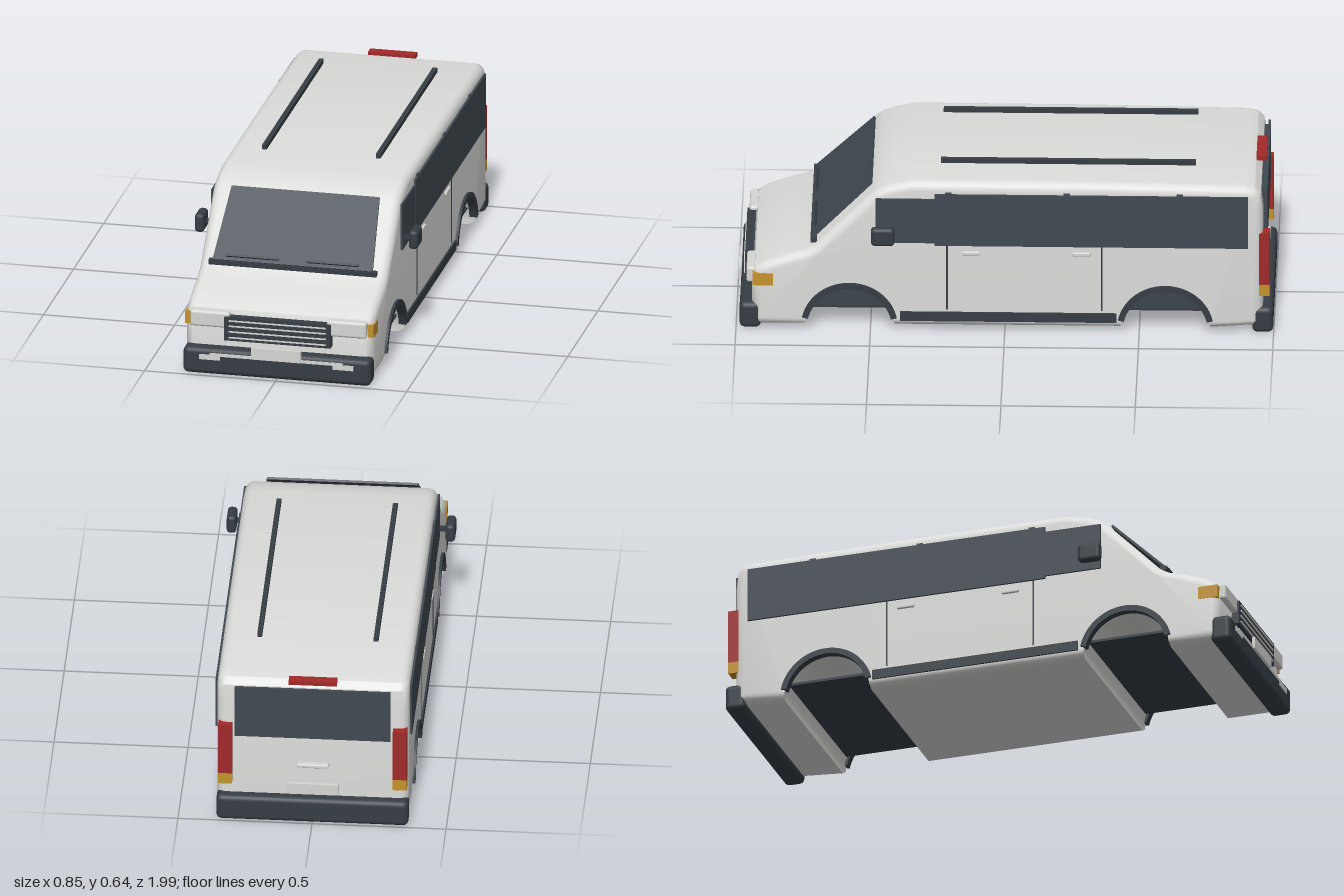
import * as THREE from 'three';
import { toCreasedNormals } from 'three/addons/utils/BufferGeometryUtils.js';
import { RoundedBoxGeometry } from 'three/addons/geometries/RoundedBoxGeometry.js';

const mat = (name, color) => {
  const m = new THREE.MeshStandardMaterial({ color });
  m.name = name;
  return m;
};

export function createModel() {
  const paint = mat('body paint', 0xdcdcdb);
  const glass = mat('tinted glass', 0x414951);
  const trim = mat('dark trim', 0x363d44);
  const chrome = mat('light trim', 0xd6d6d4);
  const red = mat('red lens', 0xa02a2a);
  const amber = mat('amber lens', 0xc4922e);

  const van = new THREE.Group();
  van.name = 'van';
  const add = (name, geometry, material) => {
    const mesh = new THREE.Mesh(geometry, material);
    mesh.name = name;
    van.add(mesh);
    return mesh;
  };
  // Box given by its extents along each axis; r rounds its edges
  const box = (name, material, [x0, x1], [y0, y1], [z0, z1], r = 0) => {
    const size = [x1 - x0, y1 - y0, z1 - z0];
    const geo = r ? new RoundedBoxGeometry(...size, 3, r) : new THREE.BoxGeometry(...size);
    const mesh = add(name, geo, material);
    mesh.position.set((x0 + x1) / 2, (y0 + y1) / 2, (z0 + z1) / 2);
    return mesh;
  };
  // Mirrored pair of boxes
  const pair = (name, material, [x0, x1], y, z, r) => {
    box(name + 'Left', material, [x0, x1], y, z, r);
    box(name + 'Right', material, [-x1, -x0], y, z, r);
  };

  // Body shell: side profile with wheel arches, bevelled along the sides
  const wheels = [-0.597, 0.578], floorY = 0.015, archR = 0.168, bevel = 0.035;
  const side = new THREE.Shape();
  side.moveTo(-0.95, floorY);
  for (const z of wheels) side.absarc(z, floorY, archR, Math.PI, 0, true);
  const outline = [[0.925, 0.015], [0.94, 0.035], [0.942, 0.215], [0.93, 0.248], [0.89, 0.273],
    [0.81, 0.3], [0.74, 0.322], [0.705, 0.342], [0.49, 0.562], [0.465, 0.578], [0.42, 0.594],
    [0.345, 0.61], [-0.3, 0.609], [-0.89, 0.601], [-0.93, 0.592], [-0.952, 0.568],
    [-0.96, 0.5], [-0.96, 0.03]];
  for (const [z, y] of outline) side.lineTo(z, y);
  side.closePath();
  const width = 0.716;
  const shell = new THREE.ExtrudeGeometry(side, {
    depth: width - 2 * bevel, bevelThickness: bevel, bevelSize: bevel,
    bevelOffset: -bevel, bevelSegments: 5, curveSegments: 20,
  });
  shell.translate(0, 0, -(width / 2 - bevel));
  // Keep the arches straight through the bevel
  const p = shell.attributes.position;
  for (let i = 0; i < p.count; i++) {
    for (const z of wheels) {
      const dz = p.getX(i) - z, dy = p.getY(i) - floorY, d = Math.hypot(dz, dy);
      if (d < 0.212) p.setXY(i, z + dz * archR / d, floorY + dy * archR / d);
    }
  }
  shell.rotateY(-Math.PI / 2);
  add('bodyShell', toCreasedNormals(shell, 0.6), paint);

  // Wheel arch trims and the floor plates across the wheel wells
  const ring = new THREE.Shape();
  ring.absarc(0, 0, 0.18, 0.22, Math.PI - 0.22, false);
  ring.absarc(0, 0, 0.158, Math.PI - 0.22, 0.22, true);
  ring.closePath();
  const ringGeo = toCreasedNormals(new THREE.ExtrudeGeometry(ring, {
    depth: 0.03, bevelEnabled: false, curveSegments: 24,
  }).translate(0, 0, -0.015).rotateY(-Math.PI / 2), 0.6);
  for (const z of wheels) {
    for (const s of [-1, 1]) add('archTrim', ringGeo, trim).position.set(s * 0.353, floorY, z);
    box('wellFloor', trim, [-0.33, 0.33], [0.08, 0.09], [z - 0.158, z + 0.158]);
  }

  // Sides: windows, door seams, handles and sills
  pair('sideWindow', glass, [0.358, 0.3665], [0.355, 0.565], [-0.905, 0.262]);
  pair('frontSideWindow', glass, [0.357, 0.3655], [0.365, 0.545], [0.262, 0.48]);
  for (const z of [0.21, -0.23, -0.65]) {
    pair('windowClip', glass, [0.352, 0.364], [0.56, 0.572], [z - 0.012, z + 0.012]);
  }
  for (const z of [0.215, -0.36]) {
    pair('doorSeam', trim, [0.354, 0.36], [0.09, 0.355], [z - 0.003, z + 0.003]);
  }
  for (const z of [0.125, -0.285]) {
    pair('doorHandle', chrome, [0.354, 0.367], [0.316, 0.331], [z - 0.033, z + 0.033], 0.004);
  }
  pair('sill', trim, [0.345, 0.365], [0.043, 0.08], [-0.415, 0.39]);

  // Mirrors
  pair('mirrorArm', trim, [0.35, 0.4], [0.403, 0.418], [0.445, 0.463]);
  pair('mirror', trim, [0.39, 0.426], [0.376, 0.448], [0.41, 0.497], 0.014);

  // Roof rails
  pair('roofRail', trim, [0.208, 0.226], [0.63, 0.647], [-0.708, 0.24]);

  // Windshield, cowl and wipers in a tilted group lying on the slope
  const front = new THREE.Group();
  front.name = 'windshieldGroup';
  front.position.set(0, 0.355, 0.712);
  front.rotation.x = -Math.atan2(0.218, 0.215);
  const screen = new THREE.Shape([[-0.305, 0], [0.305, 0], [0.282, 0.306], [-0.282, 0.306]]
    .map(([x, y]) => new THREE.Vector2(x, y)));
  const pane = new THREE.ExtrudeGeometry(screen, { depth: 0.009, bevelEnabled: false });
  front.add(add('windshield', pane, glass));
  for (const x of [-0.155, 0.15]) {
    const wiper = add('wiper', new THREE.BoxGeometry(0.2, 0.009, 0.008), trim);
    wiper.position.set(x, 0.018, 0.013);
    front.add(wiper);
  }
  van.add(front);
  box('cowl', trim, [-0.32, 0.32], [0.341, 0.359], [0.7, 0.724]);

  // Nose: grille, headlights and corner markers
  box('grille', trim, [-0.203, 0.203], [0.138, 0.23], [0.92, 0.97]);
  for (const y of [0.151, 0.174, 0.196, 0.217]) {
    box('grilleSlat', chrome, [-0.185, 0.185], [y - 0.0025, y + 0.0025], [0.968, 0.974]);
  }
  pair('headlight', chrome, [0.185, 0.336], [0.182, 0.244], [0.905, 0.962], 0.01);
  pair('cornerMarker', amber, [0.335, 0.36], [0.182, 0.231], [0.862, 0.938]);

  // Front bumper with lower light strip, fog lights and plate
  box('frontBumper', trim, [-0.358, 0.358], [0.003, 0.106], [0.908, 0.987], 0.02);
  box('bumperStrip', chrome, [-0.255, 0.255], [0.078, 0.09], [0.982, 0.989]);
  pair('fogLight', chrome, [0.215, 0.294], [0.063, 0.083], [0.982, 0.99]);
  box('frontPlate', chrome, [-0.095, 0.095], [0.08, 0.125], [0.985, 0.996]);

  // Tail: bumper, window, lamps, handle and plate
  box('rearBumper', trim, [-0.358, 0.358], [0.003, 0.106], [-0.998, -0.92], 0.02);
  box('rearWindow', glass, [-0.29, 0.29], [0.36, 0.573], [-0.976, -0.967]);
  box('rearWindowSeat', glass, [-0.28, 0.28], [0.37, 0.56], [-0.968, -0.95]);
  pair('tailLamp', red, [0.3, 0.352], [0.2, 0.41], [-0.985, -0.945]);
  pair('rearMarker', amber, [0.3, 0.352], [0.155, 0.2], [-0.985, -0.945]);
  box('highBrakeLamp', red, [-0.09, 0.09], [0.588, 0.604], [-0.968, -0.93]);
  box('rearHandle', chrome, [-0.06, 0.06], [0.232, 0.248], [-0.98, -0.955], 0.005);
  box('rearPlate', chrome, [-0.095, 0.095], [0.113, 0.158], [-0.972, -0.955]);

  return van;
}
